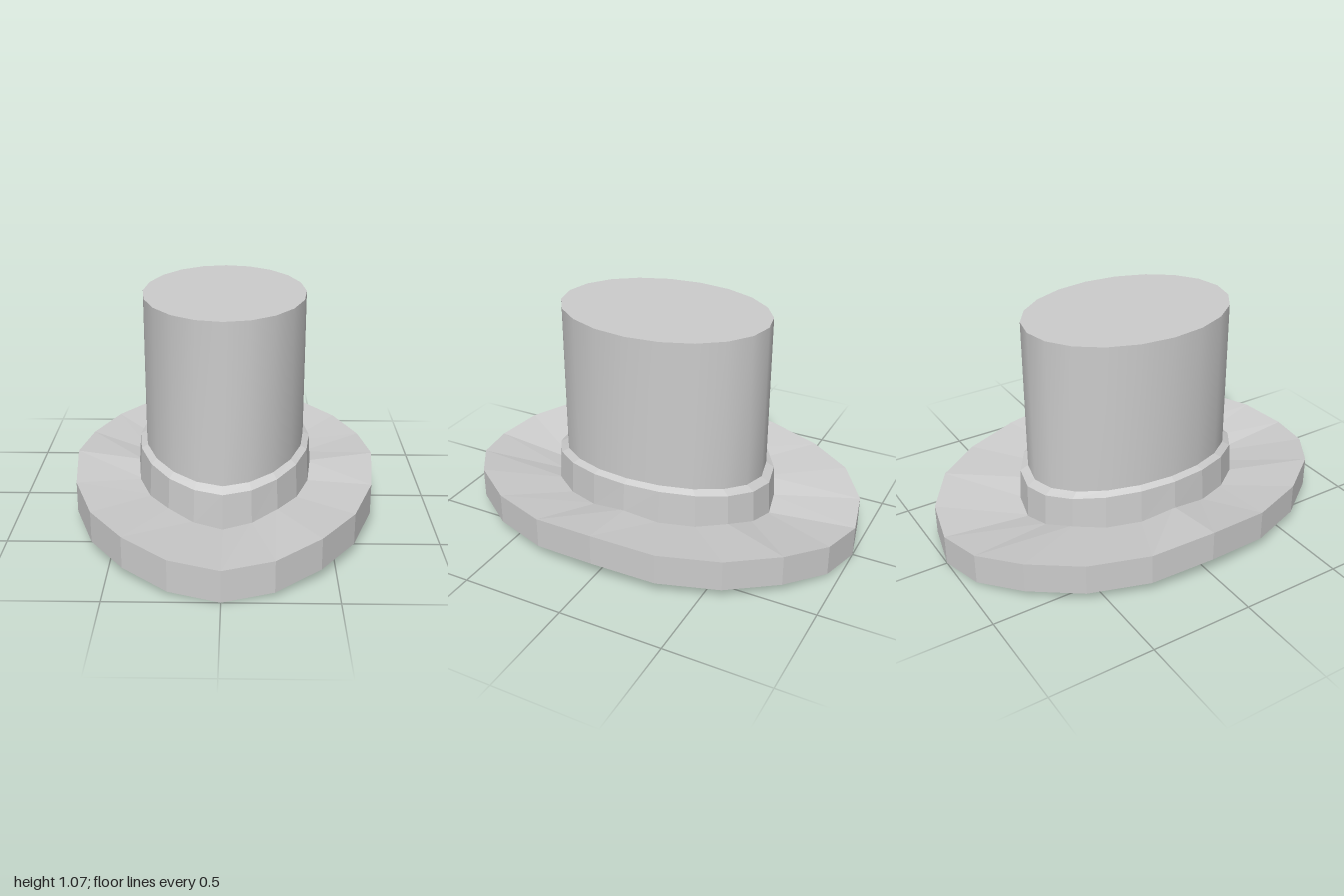
import * as THREE from 'three';
import { toCreasedNormals } from 'three/addons/utils/BufferGeometryUtils.js';

const SIDES = 20;

// Elliptical ring: y may be a number or a function of the step index.
function ring(rx, rz, y) {
  return Array.from({ length: SIDES }, (_, i) => {
    const a = (i / SIDES) * Math.PI * 2;
    return [Math.sin(a) * rx, typeof y === 'function' ? y(i) : y, Math.cos(a) * rz];
  });
}

// Skin through a list of rings, upward rings facing outward.
function loft(rings) {
  const index = [];
  for (let r = 0; r < rings.length - 1; r++) {
    for (let i = 0; i < SIDES; i++) {
      const j = (i + 1) % SIDES;
      const a = r * SIDES + i, b = r * SIDES + j;
      index.push(a, b, b + SIDES, a, b + SIDES, a + SIDES);
    }
  }
  const geo = new THREE.BufferGeometry();
  geo.setAttribute('position', new THREE.Float32BufferAttribute(rings.flat(2), 3));
  geo.setIndex(index);
  return geo;
}

export function createModel() {
  const hat = new THREE.Group();
  hat.name = 'topHat';
  const smooth = new THREE.MeshStandardMaterial({ color: 0xcccccc });
  const faceted = new THREE.MeshStandardMaterial({ color: 0xcccccc, flatShading: true });
  const add = (name, geo, material) => {
    const mesh = new THREE.Mesh(geo, material);
    mesh.name = name;
    hat.add(mesh);
  };

  // Brim: dips at front and back, curls up at the sides, thins towards the head
  const dip = [0, 0.02, 0.048, 0.05, 0.06, 0.087];
  const rim = (i) => {
    const k = i % 10;
    return dip[k > 5 ? 10 - k : k];
  };
  const opening = (i) => 0.065 + rim(i) * 0.5;
  add('brim', loft([
    ring(0.243, 0.333, opening),
    ring(0.733, 1, rim),
    ring(0.733, 1, (i) => rim(i) + 0.15),
    ring(0.41, 0.55, (i) => rim(i) + 0.105),
  ]), faceted);

  // Band: arched top edge, higher at the sides, bevelled in to the crown
  const arch = (low, rise) => (i) =>
    low + rise * Math.abs(Math.sin((i / SIDES) * Math.PI * 2)) ** 1.4;
  add('band', loft([
    ring(0.427, 0.57, (i) => rim(i) + 0.1),
    ring(0.417, 0.562, arch(0.275, 0.06)),
    ring(0.387, 0.522, arch(0.3, 0.05)),
  ]), faceted);

  // Crown: smooth oval column with a flat top
  add('crown', toCreasedNormals(loft([
    ring(0.387, 0.522, 0.28),
    ring(0.387, 0.522, 1.067),
    ring(0, 0, 1.067),
  ]), 0.6), smooth);

  // Hollow for the head, open below
  add('hollow', loft([
    ring(0, 0, 0.92),
    ring(0.243, 0.333, 0.92),
    ring(0.243, 0.333, opening),
  ]), faceted);

  return hat;
}
